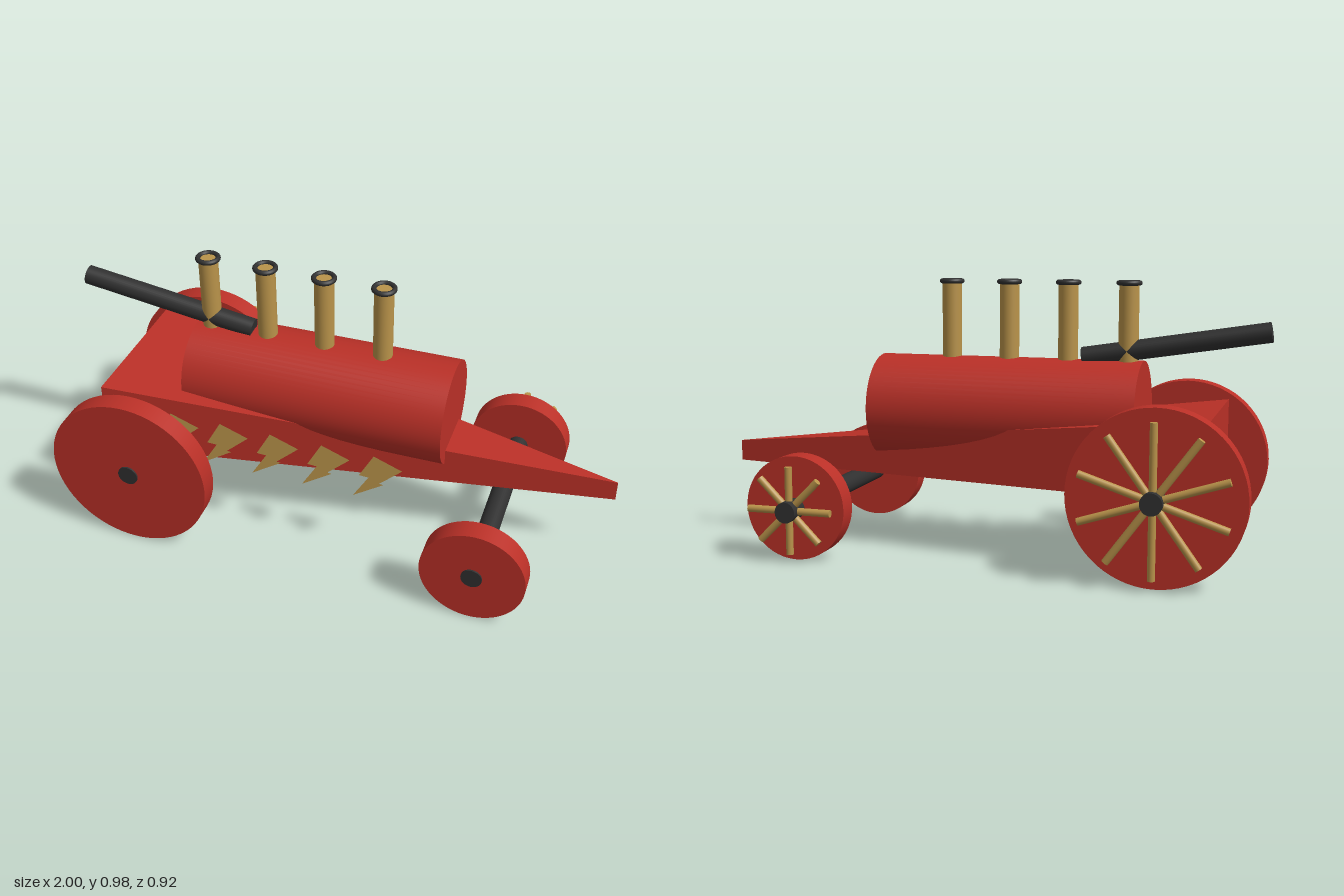
import * as THREE from 'three';

const material = (name, color) => {
  const m = new THREE.MeshStandardMaterial({ color });
  m.name = name;
  return m;
};

export function createModel() {
  const model = new THREE.Group();
  model.name = 'steamRacer';
  const red = material('red paint', 0xba3027);
  const iron = material('dark iron', 0x303030);
  const brass = material('brass', 0xb9934a);
  const brassSheet = material('brass sheet', 0xb9934a);
  brassSheet.side = THREE.DoubleSide;

  const add = (name, geometry, mat, x = 0, y = 0, z = 0, parent = model) => {
    const mesh = new THREE.Mesh(geometry, mat);
    mesh.name = name;
    mesh.position.set(x, y, z);
    parent.add(mesh);
    return mesh;
  };
  const cylinder = (r, length, sides = 32) => new THREE.CylinderGeometry(r, r, length, sides);

  // Wedge chassis: a box whose +x end is pinched to a vertical edge
  const wedge = new THREE.BoxGeometry(1, 1, 1).toNonIndexed();
  const p = wedge.attributes.position;
  for (let i = 0; i < p.count; i++) {
    const nose = p.getX(i) > 0;
    const top = p.getY(i) > 0;
    const side = Math.sign(p.getZ(i));
    p.setXYZ(i, nose ? 1 : -0.83, top ? (nose ? 0.347 : 0.541) : 0.27, side * (nose ? 0.0005 : 0.295));
  }
  wedge.computeVertexNormals();
  add('chassis', wedge, red);

  // Boiler
  add('boiler', cylinder(0.188, 0.965, 64), red, -0.0825, 0.514).rotation.z = -Math.PI / 2;

  // Row of chimneys with dark rims
  for (let i = 0; i < 4; i++) {
    const x = -0.51 + i * 0.215;
    add('chimney', cylinder(0.035, 0.3), brass, x, 0.82);
    add('chimneyRim', new THREE.TorusGeometry(0.036, 0.009, 12, 32), iron, x, 0.971).rotation.x = Math.PI / 2;
  }

  // Tilted barrel over the back
  add('barrel', cylinder(0.035, 0.655), iron, -0.673, 0.761).rotation.z = Math.PI / 2 - 0.155;

  // Wheel pairs, with spokes on the right-hand side
  const wheelPair = (name, x, radius, spokeLength, spokeCount) => {
    const group = new THREE.Group();
    group.name = name;
    group.position.set(x, radius, 0);
    model.add(group);
    add('axle', cylinder(0.037, 0.915), iron, 0, 0, 0, group).rotation.x = Math.PI / 2;
    for (const z of [0.414, -0.338])
      add('wheel', cylinder(radius, 0.075, 64), red, 0, 0, z, group).rotation.x = Math.PI / 2;
    for (let i = 0; i < spokeCount; i++) {
      const a = (i / spokeCount) * Math.PI * 2;
      const r = spokeLength / 2;
      add('spoke', cylinder(0.013, spokeLength, 16), brass,
        -Math.sin(a) * r, Math.cos(a) * r, -0.421, group).rotation.z = a;
    }
  };
  wheelPair('rearWheels', -0.672, 0.297, 0.256, 10);
  wheelPair('frontWheels', 0.595, 0.185, 0.155, 8);

  // Lightning bolts along the left side, slanted with the chassis
  const bolt = new THREE.ShapeGeometry(new THREE.Shape([
    [0.195, 0.482], [0.293, 0.428], [0.215, 0.362], [0.23, 0.358],
    [0.125, 0.298], [0.178, 0.385], [0.145, 0.392],
  ].map(([x, y]) => new THREE.Vector2(x, y))));
  const b = bolt.attributes.position;
  for (let i = 0; i < b.count; i++) b.setZ(i, 0.3 - 0.16 * (b.getX(i) - 0.125));
  bolt.computeVertexNormals();
  for (let i = 0; i < 5; i++) add('lightningBolt', bolt, brassSheet, -0.19 * i);

  return model;
}
